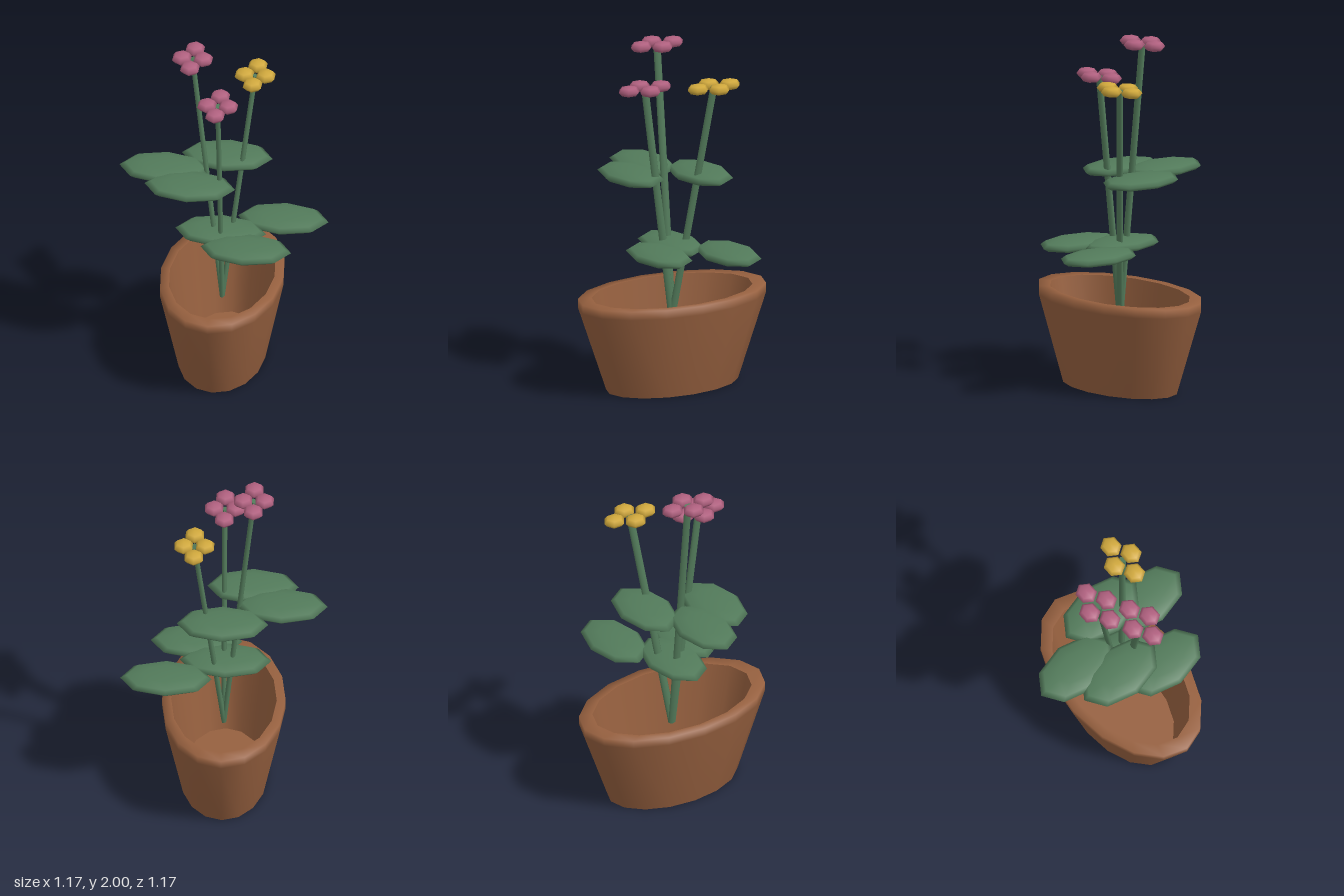
import * as THREE from 'three';

const SQUASH = 0.6; // the whole plant is narrower in x than in z

function material(name, color) {
  const m = new THREE.MeshStandardMaterial({ color });
  m.name = name;
  return m;
}

function addMesh(parent, name, geometry, mat) {
  const mesh = new THREE.Mesh(geometry, mat);
  mesh.name = name;
  parent.add(mesh);
  return mesh;
}

// Oval ring surface from [radius, height] pairs
function ovalLathe(points) {
  const geometry = new THREE.LatheGeometry(points.map(([r, y]) => new THREE.Vector2(r, y)), 16);
  return geometry.scale(SQUASH, 1, 1);
}

export function createModel() {
  const terracotta = material('terracotta', 0x96603f);
  const green = material('leafGreen', 0x527a5a);
  const pink = material('petalPink', 0xb0607f);
  const yellow = material('petalYellow', 0xd0a83c);

  const model = new THREE.Group();
  model.name = 'pottedFlowers';

  // Pot: outer shell with soft rim, hollow inside, recessed base
  const pot = new THREE.Group();
  pot.name = 'pot';
  model.add(pot);
  const parts = {
    potShell: [[0.37, 0], [0.41, 0], [0.585, 0.5], [0.585, 0.55], [0.5, 0.55]],
    potInside: [[0.5, 0.55], [0.385, 0.05]],
    potFloor: [[0.385, 0.05], [0, 0.05]],
    potUnderside: [[0, 0.02], [0.37, 0.02]],
    potFoot: [[0.37, 0.02], [0.37, 0]],
  };
  for (const [name, points] of Object.entries(parts)) {
    addMesh(pot, name, ovalLathe(points), terracotta);
  }

  // Petals are six-sided with a point along z; leaves are eight-sided
  const petalGeometry = new THREE.SphereGeometry(1, 6, 4).rotateY(Math.PI / 2).scale(0.06, 0.032, 0.066);
  const leafGeometry = new THREE.SphereGeometry(1, 8, 6).scale(0.26, 0.04, 0.16);
  const petalOffsets = [[0.061, 0], [-0.061, 0], [0, 0.104], [0, -0.104]];

  const base = new THREE.Vector3(0, 0.4, 0);
  const flowers = [
    { x: -0.17, y: 1.968, z: 0, petals: pink },
    { x: 0, y: 1.775, z: 0.178, petals: pink },
    { x: 0.163, y: 1.775, z: -0.18, petals: yellow },
  ];

  for (const { x, y, z, petals } of flowers) {
    const plant = new THREE.Group();
    plant.name = 'flower';
    model.add(plant);

    // Leaning oval stem from the shared root point
    const direction = new THREE.Vector3(x / SQUASH, y, z).sub(base);
    const length = direction.length();
    const turn = new THREE.Quaternion().setFromUnitVectors(new THREE.Vector3(0, 1, 0), direction.normalize());
    const stemGeometry = new THREE.CylinderGeometry(0.024, 0.024, length, 8)
      .translate(0, length / 2, 0)
      .applyQuaternion(turn)
      .scale(SQUASH, 1, 1)
      .translate(base.x, base.y, base.z);
    addMesh(plant, 'stem', stemGeometry, green);

    // One high leaf to the right, one low leaf to the left
    addMesh(plant, 'upperLeaf', leafGeometry, green).position.set(x - 0.16, 1.223, z);
    addMesh(plant, 'lowerLeaf', leafGeometry, green).position.set(x + 0.161, 0.828, z);

    // Blossom of four petals
    for (const [dx, dz] of petalOffsets) {
      addMesh(plant, 'petal', petalGeometry, petals).position.set(x + dx, y, z + dz);
    }
  }

  return model;
}
